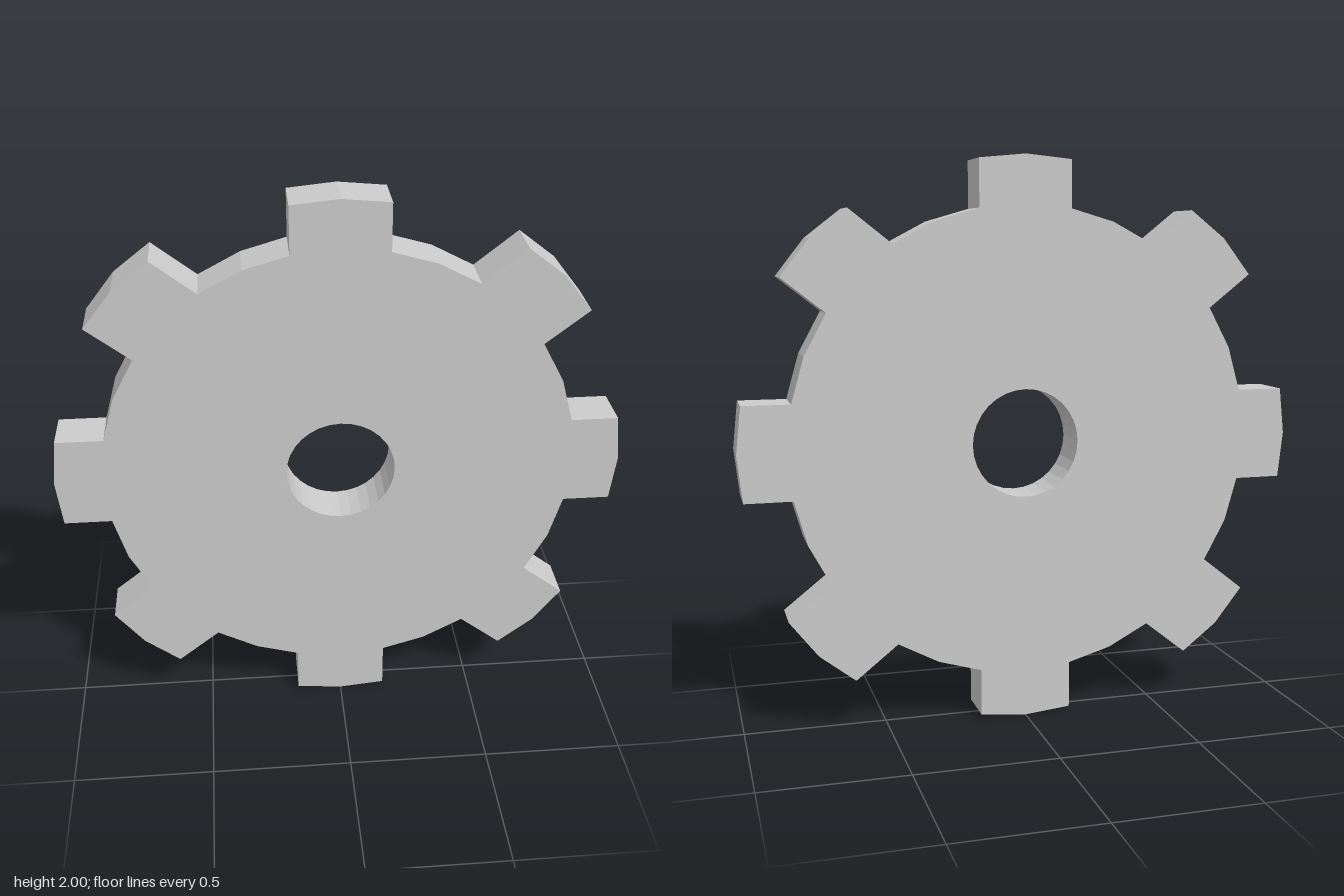
import * as THREE from 'three';

const DEPTH = 0.165, HOLE_RADIUS = 0.192;

// One quarter of the rim, from the top tooth's tip round to the side tooth's tip
const QUARTER = [
  [0, 1], [0.165, 0.984],                       // half of the top tooth
  [0.165, 0.817], [0.32, 0.772], [0.465, 0.695], // root arc
  [0.615, 0.814], [0.742, 0.715], [0.843, 0.586], // diagonal tooth
  [0.692, 0.467], [0.77, 0.323], [0.815, 0.165], // root arc
  [0.982, 0.165], [1, 0],                       // half of the side tooth
];

function gearOutline() {
  const right = [...QUARTER, ...QUARTER.slice(0, -1).reverse().map(([x, y]) => [x, -y])];
  const left = right.slice(1, -1).reverse().map(([x, y]) => [-x, y]);
  return [...right, ...left].map(([x, y]) => new THREE.Vector2(x, y));
}

export function createModel() {
  const group = new THREE.Group();
  group.name = 'gear';

  // Toothed plate with a round axle hole
  const shape = new THREE.Shape(gearOutline());
  const hole = [];
  for (let i = 0; i < 32; i++) {
    const a = (i / 32) * Math.PI * 2;
    hole.push(new THREE.Vector2(Math.cos(a) * HOLE_RADIUS, Math.sin(a) * HOLE_RADIUS));
  }
  shape.holes.push(new THREE.Path(hole));

  const geometry = new THREE.ExtrudeGeometry(shape, { depth: DEPTH, bevelEnabled: false });
  geometry.translate(0, 1, -DEPTH / 2);

  const material = new THREE.MeshStandardMaterial({ color: 0xcccccc, flatShading: true });
  const plate = new THREE.Mesh(geometry, material);
  plate.name = 'toothedPlate';
  group.add(plate);
  return group;
}
